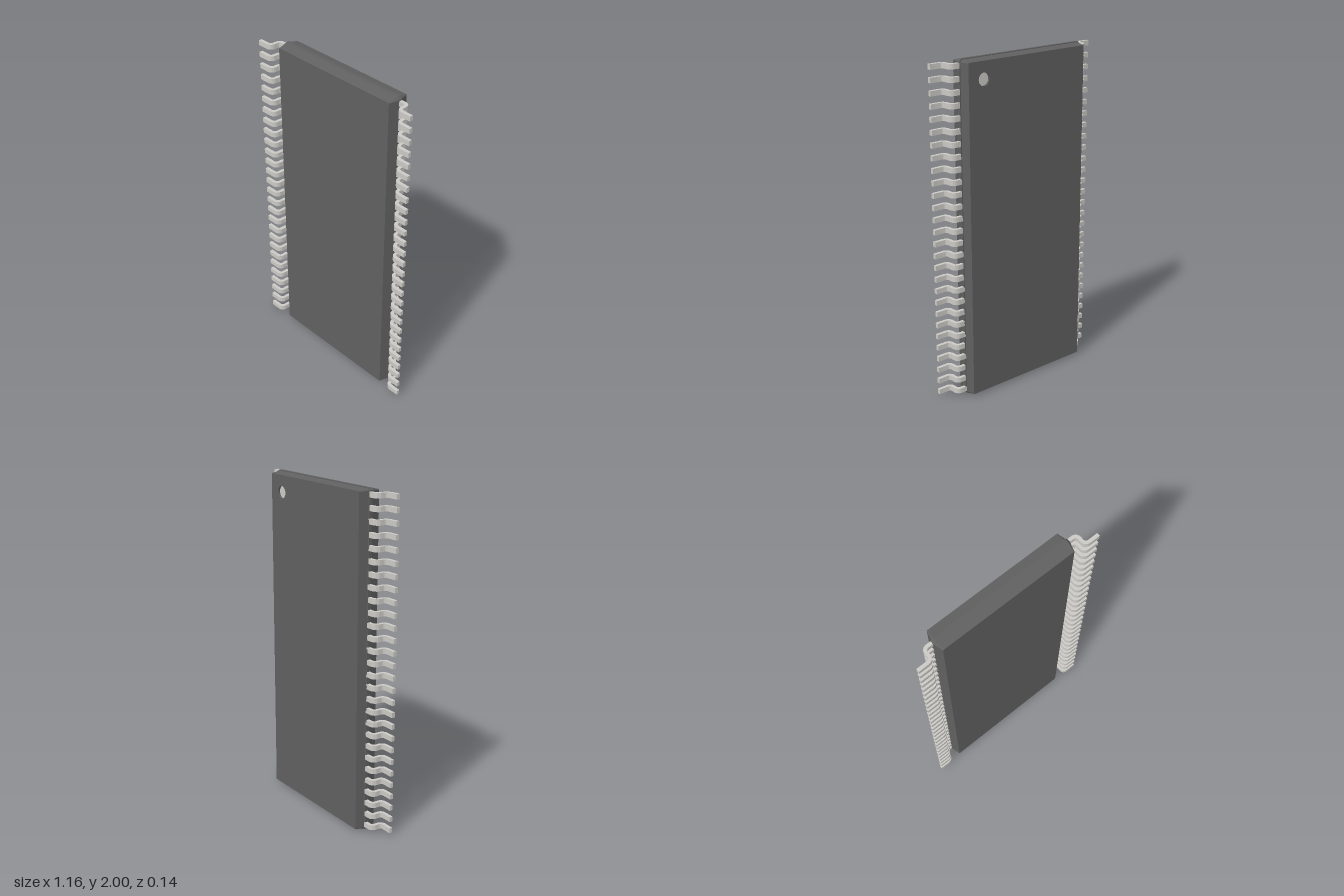
import * as THREE from 'three';
import { toCreasedNormals } from 'three/addons/utils/BufferGeometryUtils.js';

const bodyMat = new THREE.MeshStandardMaterial({ color: 0x606060, flatShading: true });
const metalMat = new THREE.MeshStandardMaterial({ color: 0xcccac5 });

// Rectangle outline with cut corners, counter-clockwise seen from +z
function outline(hx, hy, c) {
  return [[hx, -hy + c], [hx, hy - c], [hx - c, hy], [-hx + c, hy],
    [-hx, hy - c], [-hx, -hy + c], [-hx + c, -hy], [hx - c, -hy]];
}

// Body sections from back to front: z, half width, half height, corner cut
const sections = [
  [-0.072, 0.418, 0.985, 0.003],
  [-0.018, 0.431, 0.996, 0.012],
  [-0.018, 0.437, 1.0, 0.014],
  [0.002, 0.437, 1.0, 0.014],
  [0.06, 0.42, 0.985, 0.003],
];

function shellGeometry() {
  const pos = [];
  const rings = sections.map(([z, hx, hy, c]) => outline(hx, hy, c).map(([x, y]) => [x, y, z]));
  for (let s = 0; s < rings.length - 1; s++) {
    for (let i = 0; i < 8; i++) {
      const j = (i + 1) % 8;
      const a = rings[s][i], b = rings[s][j], c = rings[s + 1][j], d = rings[s + 1][i];
      pos.push(...a, ...b, ...c, ...a, ...c, ...d);
    }
  }
  const front = rings[rings.length - 1];
  for (let i = 1; i < 7; i++) pos.push(...front[0], ...front[i], ...front[i + 1]);
  const g = new THREE.BufferGeometry();
  g.setAttribute('position', new THREE.Float32BufferAttribute(pos, 3));
  g.computeVertexNormals();
  return g;
}

// Gull-wing lead: S-shaped strip profile in x/z, extruded along y
function leadGeometry() {
  const t = 0.03, q = Math.PI / 2, s = new THREE.Shape();
  s.moveTo(0.42, -0.018);
  s.lineTo(0.465, -0.018);
  s.absarc(0.465, 0.017, 0.035, -q, 0, false);
  s.lineTo(0.5, 0.037);
  s.absarc(0.515, 0.037, 0.015, Math.PI, q, true);
  s.lineTo(0.578, 0.052);
  s.lineTo(0.578, 0.072);
  s.lineTo(0.515, 0.072);
  s.absarc(0.515, 0.037, 0.035, q, Math.PI, false);
  s.lineTo(0.48, 0.017);
  s.absarc(0.465, 0.017, 0.015, 0, -q, true);
  s.lineTo(0.42, 0.002);
  s.closePath();
  const g = new THREE.ExtrudeGeometry(s, { depth: t, bevelEnabled: false, curveSegments: 8 });
  g.translate(0, 0, -t / 2);
  g.rotateX(q);
  return toCreasedNormals(g, Math.PI / 5);
}

export function createModel() {
  const model = new THREE.Group();
  model.name = 'chipPackage';
  const add = (parent, name, geometry, material, x = 0, y = 0, z = 0) => {
    const mesh = new THREE.Mesh(geometry, material);
    mesh.name = name;
    mesh.position.set(x, y, z);
    parent.add(mesh);
    return mesh;
  };

  // Moulded body
  const body = new THREE.Group();
  body.name = 'body';
  body.position.y = 1;
  model.add(body);
  add(body, 'bodyShell', shellGeometry(), bodyMat);

  // Back face with the round index dimple cut into it
  const [backZ, hx, hy, cut] = sections[0];
  const dx = 0.314, dy = 0.885, r = 0.037, depth = 0.012;
  const face = new THREE.Shape(outline(hx, hy, cut).map(([x, y]) => new THREE.Vector2(-x, y)).reverse());
  face.holes.push(new THREE.Path().absarc(-dx, dy, r, 0, Math.PI * 2, true));
  add(body, 'backFace', new THREE.ShapeGeometry(face, 16).rotateY(Math.PI), bodyMat, 0, 0, backZ);

  const wallMat = bodyMat.clone();
  wallMat.side = THREE.DoubleSide;
  wallMat.flatShading = false;
  const wall = new THREE.CylinderGeometry(r, r, depth, 32, 1, true).rotateX(Math.PI / 2);
  add(body, 'dimpleWall', wall, wallMat, dx, dy, backZ + depth / 2);
  add(body, 'dimpleFloor', new THREE.CircleGeometry(r, 32).rotateY(Math.PI), metalMat, dx, dy, backZ + depth);

  // Two rows of leads, mirrored by a half turn about z
  const lead = leadGeometry();
  const count = 28, pitch = 0.0715;
  for (const side of [1, -1]) {
    const row = new THREE.Group();
    row.name = side > 0 ? 'leftLeads' : 'rightLeads';
    for (let i = 0; i < count; i++) {
      const m = add(row, 'lead', lead, metalMat, 0, 1 + (i - (count - 1) / 2) * pitch, 0);
      if (side < 0) m.rotation.z = Math.PI;
    }
    model.add(row);
  }
  return model;
}
